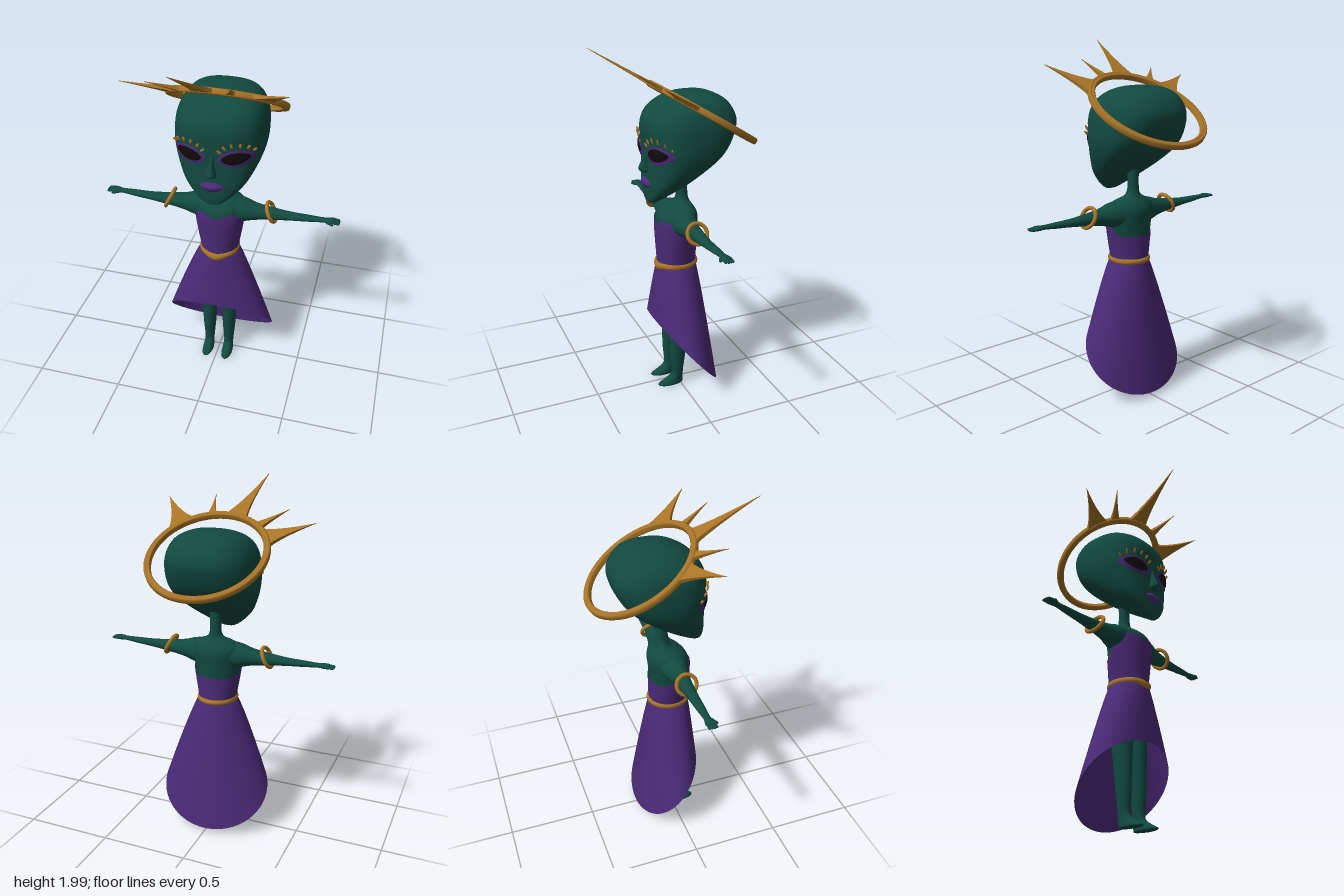
import * as THREE from 'three';

const mat = (color, side = THREE.FrontSide) => new THREE.MeshStandardMaterial({ color, side, roughness: 0.8 });
const skin = mat(0x114a40);
const purple = mat(0x4b2a78, THREE.DoubleSide);
const gold = mat(0xa87426);
const dark = mat(0x120c0c, THREE.DoubleSide);

function add(parent, name, geometry, material) {
  const mesh = new THREE.Mesh(geometry, material);
  mesh.name = name;
  parent.add(mesh);
  return mesh;
}

// Smooth interpolation through section rows; u runs over row indices
function sample(rows, u) {
  const last = rows.length - 1;
  const i = Math.min(Math.floor(u), last - 1), t = u - i;
  const [a, b, c, d] = [i - 1, i, i + 1, i + 2].map(k => rows[Math.max(0, Math.min(last, k))]);
  return b.map((_, k) => b[k] + 0.5 * t * (c[k] - a[k]
    + t * (2 * a[k] - 5 * b[k] + 4 * c[k] - d[k] + t * (3 * (b[k] - c[k]) + d[k] - a[k]))));
}

function sampleAt(rows, y) {
  let lo = 0, hi = rows.length - 1;
  for (let k = 0; k < 30; k++) {
    const mid = (lo + hi) / 2;
    if (sample(rows, mid)[0] < y) lo = mid; else hi = mid;
  }
  return sample(rows, lo);
}

// Surface closed around y: f(angle, t) gives a point, t rises from 0 to 1
function surface(around, up, f) {
  const pos = [], idx = [];
  for (let i = 0; i <= up; i++) {
    for (let j = 0; j < around; j++) {
      pos.push(...f((j / around) * Math.PI * 2, i / up));
      if (i === up) continue;
      const a = i * around + j, b = i * around + (j + 1) % around;
      idx.push(a, b, b + around, a, b + around, a + around);
    }
  }
  const g = new THREE.BufferGeometry();
  g.setAttribute('position', new THREE.Float32BufferAttribute(pos, 3));
  g.setIndex(idx);
  g.computeVertexNormals();
  return g;
}

// Superelliptic ring point of a section [y, centreX, halfWidth, zFront, zBack]
const power = (v, e) => Math.sign(v) * Math.abs(v) ** e;
function ringPoint([y, cx, w, zf, zb], angle, n, grow = 0) {
  return [cx + (w + grow) * power(Math.sin(angle), 2 / n), y,
    (zf + zb) / 2 + ((zf - zb) / 2 + grow) * power(Math.cos(angle), 2 / n)];
}
const loft = (rows, around = 32, n = 2, steps = 5) => surface(around, (rows.length - 1) * steps,
  (angle, t) => ringPoint(sample(rows, t * (rows.length - 1)), angle, n));

const HEAD_N = 2.6;
const headRows = [
  [1.165, 0, 0, 0.155, 0.155], [1.172, 0, 0.04, 0.17, 0.135], [1.21, 0, 0.095, 0.177, 0.08],
  [1.275, 0, 0.16, 0.178, -0.02], [1.34, 0, 0.2, 0.175, -0.12], [1.42, 0, 0.233, 0.172, -0.225],
  [1.5, 0, 0.246, 0.177, -0.285], [1.6, 0, 0.24, 0.177, -0.318], [1.67, 0, 0.218, 0.143, -0.298],
  [1.72, 0, 0.178, 0.075, -0.255], [1.747, 0, 0.12, 0.01, -0.2], [1.757, 0, 0.06, -0.04, -0.15],
  [1.76, 0, 0, -0.09, -0.09],
];
const torsoRows = [
  [0.72, 0, 0.1, 0.105, -0.105], [0.8, 0, 0.103, 0.105, -0.108], [0.9, 0, 0.12, 0.11, -0.108],
  [1, 0, 0.135, 0.114, -0.112], [1.06, 0, 0.14, 0.11, -0.118], [1.1, 0, 0.14, 0.085, -0.108],
  [1.13, 0, 0.1, 0.045, -0.09], [1.15, 0, 0.058, 0.012, -0.077], [1.18, 0, 0.034, 0, -0.069],
  [1.25, 0, 0.031, -0.004, -0.066], [1.34, 0, 0.034, 0, -0.07],
];

function faceZ(x, y) {
  const [, , w, zf, zb] = sampleAt(headRows, y);
  const k = Math.max(0, 1 - Math.min(1, Math.abs(x / w)) ** HEAD_N);
  return (zf + zb) / 2 + ((zf - zb) / 2) * k ** (1 / HEAD_N);
}

// Domed patch lying on the face; outline(px, py) shapes the unit disc
function facePatch(cx, cy, outline, lift, dome) {
  const g = new THREE.RingGeometry(0.001, 1, 40, 8);
  const p = g.attributes.position;
  for (let i = 0; i < p.count; i++) {
    const px = p.getX(i), py = p.getY(i);
    const [dx, dy] = outline(px, py);
    p.setXYZ(i, cx + dx, cy + dy, faceZ(cx + dx, cy + dy) + lift + dome * (1 - px * px - py * py));
  }
  g.computeVertexNormals();
  return g;
}

function buildHead(root) {
  const head = new THREE.Group();
  head.name = 'head';
  root.add(head);
  add(head, 'skull', loft(headRows, 96, HEAD_N, 6), skin);
  add(head, 'nose', loft([
    [1.335, 0, 0, 0.17, 0.14], [1.345, 0, 0.026, 0.2, 0.14], [1.365, 0, 0.026, 0.217, 0.14],
    [1.41, 0, 0.015, 0.199, 0.14], [1.46, 0, 0.011, 0.181, 0.14], [1.5, 0, 0, 0.165, 0.14],
  ], 24), skin);
  // Lips with a dip in the upper edge
  add(head, 'lips', facePatch(0, 1.285, (x, y) => [0.066 * x,
    0.03 * y * (1 - 0.35 * x * x) - (y > 0 ? 0.007 * y * Math.exp(-x * x * 30) : 0)], 0.002, 0.018), purple);
  for (const s of [-1, 1]) {
    const almond = (w, h) => (x, y) => [w * x, h * y * (1 - 0.25 * x * x) + 0.008 * s * x];
    add(head, 'eyelid', facePatch(s * 0.124, 1.46, almond(0.092, 0.051), 0.004, 0.006), purple);
    add(head, 'eye', facePatch(s * 0.124, 1.463, almond(0.072, 0.036), 0.009, 0.006), dark);
    // Leaf ornaments fanned above each eye
    for (let k = 0; k < 6; k++) {
      const a = -1.15 + k * 0.46;
      const x = s * (0.128 + 0.092 * Math.sin(a)), y = 1.475 + 0.066 * Math.cos(a);
      const leaf = add(head, 'browLeaf', new THREE.SphereGeometry(1, 10, 6), gold);
      leaf.scale.set(0.008, 0.017, 0.005);
      leaf.position.set(x, y, faceZ(x, y) + 0.012);
      leaf.rotation.set(0.3, 0, -s * a * 0.7);
    }
  }
}

function buildHalo(root) {
  const halo = new THREE.Group();
  halo.name = 'halo';
  halo.position.set(0, 1.635, -0.155);
  halo.rotation.x = -0.546;
  root.add(halo);
  // Grooved ring
  const profile = [[0.3, -0.012], [0.306, -0.017], [0.329, -0.017], [0.335, -0.01], [0.335, 0.01], [0.329, 0.017],
    [0.322, 0.017], [0.318, 0.011], [0.314, 0.017], [0.306, 0.017], [0.3, 0.012], [0.3, -0.012]];
  add(halo, 'haloRing', new THREE.LatheGeometry(profile.map(p => new THREE.Vector2(...p)), 72), gold);
  // Tapering spikes: base angles in degrees, then tip in the ring plane
  const spikes = [[-71, -47, -0.505, 0.304], [-44, -34, -0.335, 0.398], [-22, 0, -0.13, 0.69],
    [10, 19, 0.12, 0.486], [32, 61, 0.395, 0.445]];
  for (const [a0, a1, tx, ty] of spikes) {
    const base = [a0, a1].map(a => new THREE.Vector2(0, 0.322).rotateAround(new THREE.Vector2(), -a * Math.PI / 180));
    const tip = new THREE.Vector2(tx, ty);
    const middle = base[0].clone().lerp(base[1], 0.5);
    const [c0, c1] = base.map(b => middle.clone().lerp(b, 0.42).lerp(tip, 0.28));
    const shape = new THREE.Shape();
    shape.moveTo(base[0].x, base[0].y);
    shape.quadraticCurveTo(c0.x, c0.y, tx, ty);
    shape.quadraticCurveTo(c1.x, c1.y, base[1].x, base[1].y);
    const g = new THREE.ExtrudeGeometry(shape, { depth: 0.022, bevelEnabled: false, curveSegments: 10 });
    g.translate(0, 0, -0.011);
    const p = g.attributes.position, length = tip.distanceTo(middle);
    for (let i = 0; i < p.count; i++) {
      const left = Math.hypot(p.getX(i) - tx, p.getY(i) - ty) / length;
      p.setZ(i, p.getZ(i) * Math.min(1, 0.12 + 0.88 * left));
    }
    g.rotateX(Math.PI / 2);
    g.computeVertexNormals();
    add(halo, 'haloSpike', g, gold);
  }
}

function buildLimbs(root, s) {
  // Arm lofted along its length, then laid sideways: [x, y, halfHeight, zFront, zBack]
  const armRows = [[0.05, 1.05, 0, 0, 0], [0.06, 1.05, 0.07, 0.07, -0.085], [0.13, 1.053, 0.069, 0.068, -0.075],
    [0.2, 1.052, 0.05, 0.05, -0.052], [0.28, 1.052, 0.037, 0.037, -0.04], [0.4, 1.053, 0.023, 0.028, -0.03],
    [0.5, 1.056, 0.017, 0.022, -0.026], [0.58, 1.059, 0.012, 0.016, -0.021], [0.61, 1.06, 0.013, 0.024, -0.028],
    [0.64, 1.06, 0.011, 0.024, -0.03], [0.65, 1.06, 0, 0, 0]];
  const arm = loft(armRows.map(([x, y, h, f, b]) => [x, -s * y, h, f, b]), 32);
  add(root, 'arm', arm.rotateZ(-s * Math.PI / 2), skin);
  for (let k = 0; k < 4; k++) {
    const finger = add(root, 'finger', new THREE.CapsuleGeometry(0.0065, 0.03, 4, 8), skin);
    finger.position.set(s * (0.652 - 0.003 * Math.abs(k - 1.5)), 1.059, 0.018 - 0.0135 * k);
    finger.rotation.z = s * (Math.PI / 2 - 0.08);
  }
  const thumb = add(root, 'thumb', new THREE.CapsuleGeometry(0.007, 0.03, 4, 8), skin);
  thumb.position.set(s * 0.618, 1.056, 0.025);
  thumb.rotation.set(0, s * -0.45, s * Math.PI / 2);

  const band = add(root, 'armband', new THREE.TorusGeometry(0.056, 0.011, 12, 40).rotateY(Math.PI / 2), gold);
  band.position.set(s * 0.292, 1.062, 0);
  band.rotation.z = s * 0.45;

  // Leg and foot in one upward loft
  const legRows = [[0, 0, 0, 0.05, 0.05], [0.001, 0, 0.028, 0.125, -0.01], [0.012, 0, 0.032, 0.136, -0.016],
    [0.032, 0, 0.03, 0.1, -0.018], [0.06, 0, 0.028, 0.06, -0.018], [0.1, 0, 0.03, 0.052, -0.02],
    [0.2, 0, 0.038, 0.06, -0.033], [0.33, 0, 0.044, 0.062, -0.045], [0.45, 0, 0.05, 0.065, -0.06],
    [0.7, 0, 0.05, 0.07, -0.07], [0.74, 0, 0, 0, 0]];
  add(root, 'leg', loft(legRows.map(r => [r[0], s * 0.061, ...r.slice(2)]), 28), skin);
}

function buildDress(root) {
  // Bodice hugging the torso, with a heart-shaped neckline and a low back
  add(root, 'bodice', surface(72, 20, (angle, t) => {
    const c = Math.cos(angle), off = Math.min(angle, Math.PI * 2 - angle);
    const top = 0.935 + 0.125 * THREE.MathUtils.smoothstep(c, -0.6, 0.7) - 0.02 * Math.exp(-((off / 0.3) ** 2));
    return ringPoint(sampleAt(torsoRows, 0.76 + t * (top - 0.76)), angle, 2, 0.006);
  }), purple);
  // Flared skirt with a slanted hem, high in front
  add(root, 'skirt', surface(80, 24, (angle, t) => {
    const d = 1 - t, flare = d ** 0.85, sn = Math.sin(angle), c = Math.cos(angle);
    return [sn * (0.107 + 0.213 * flare), 0.785 + (0.232 + 0.207 * c - 0.785) * d,
      0.111 * c + (-0.036 + 0.07 * c) * flare];
  }), purple);
  // Belt dipping to a point in front
  add(root, 'belt', surface(72, 12, (angle, t) => {
    const off = Math.min(angle, Math.PI * 2 - angle), dip = Math.exp(-((off / 0.45) ** 2));
    const a = t * Math.PI * 2 - Math.PI, r = 0.014 * Math.cos(a);
    return [(0.106 + r * 0.7) * Math.sin(angle), 0.787 - 0.012 * dip + (0.016 + 0.007 * dip) * Math.sin(a),
      (0.112 + r) * Math.cos(angle)];
  }), gold);
}

export function createModel() {
  const root = new THREE.Group();
  root.name = 'figure';
  add(root, 'torsoAndNeck', loft(torsoRows, 48), skin);
  buildHead(root);
  buildHalo(root);
  buildDress(root);
  for (const s of [-1, 1]) buildLimbs(root, s);
  return root;
}
